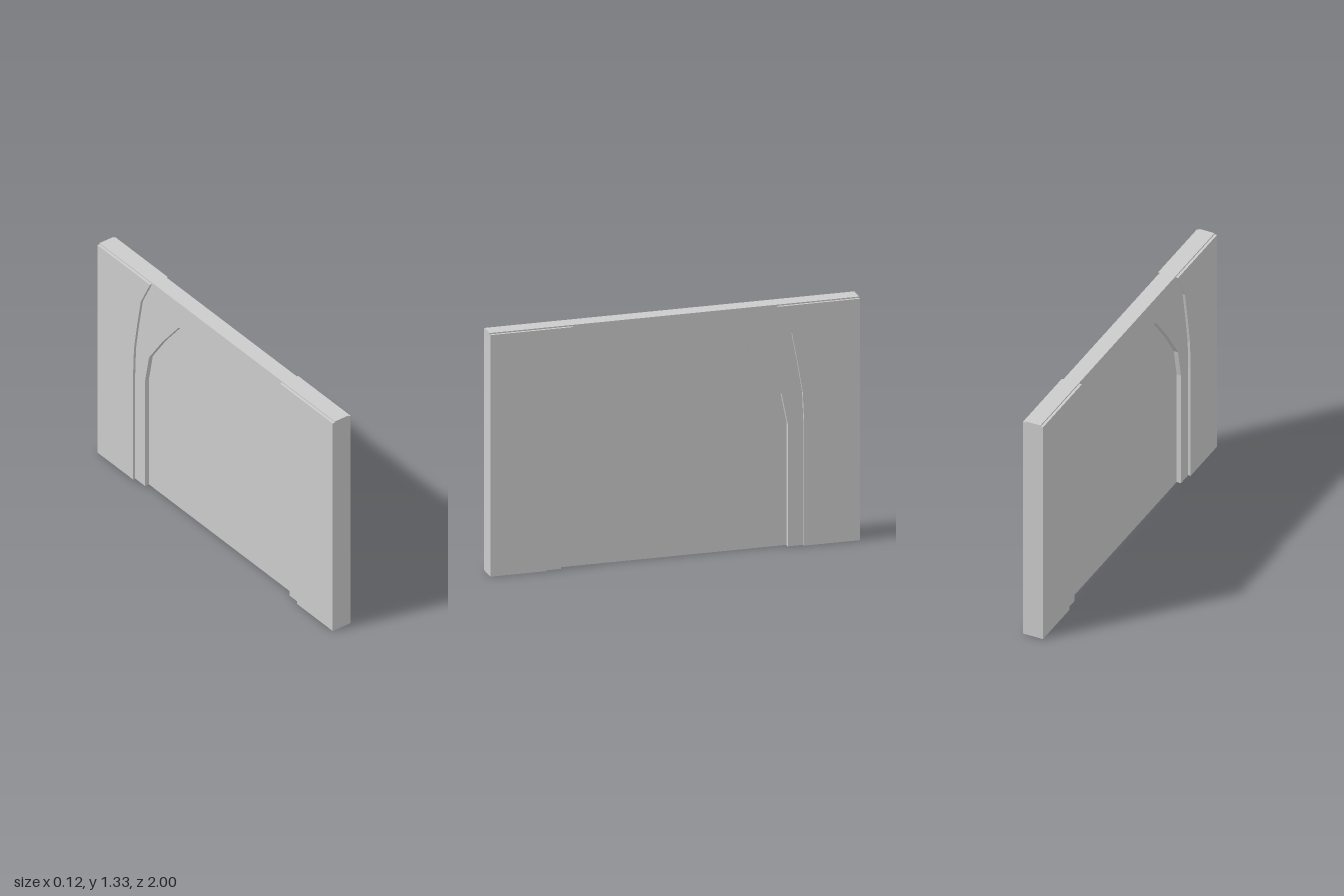
import * as THREE from 'three';

const TOP = 1.325, LEDGE = 1.318;

// Half profiles as [z, y], from the floor up
const ARCH = [[0.613, 0], [0.613, 0.67], [0.58, 0.835], [0.465, 1.0], [0.33, 1.165], [0, TOP]];
const PIER = [[0.697, 0], [0.697, 0.67], [0.69, 0.835], [0.663, 1.0], [0.632, 1.165], [0.553, LEDGE]];

export function createModel() {
  const group = new THREE.Group();
  const material = new THREE.MeshStandardMaterial({ color: 0xcccccc, flatShading: true });

  // Slab cut from a side outline, centred on x = 0
  const addSlab = (name, points, halfThickness) => {
    const shape = new THREE.Shape(points.map(([z, y]) => new THREE.Vector2(z, y)));
    const geometry = new THREE.ExtrudeGeometry(shape, { depth: 2 * halfThickness, bevelEnabled: false });
    geometry.translate(0, 0, -halfThickness).rotateY(-Math.PI / 2);
    const mesh = new THREE.Mesh(geometry, material);
    mesh.name = name;
    group.add(mesh);
  };

  const mirror = (points, s) => points.map(([z, y]) => [s * z, y]);

  // Thin panel filling the pointed arch
  addSlab('archPanel', [...ARCH, ...mirror(ARCH.slice(0, -1), -1).reverse()], 0.019);

  for (const s of [1, -1]) {
    const side = s > 0 ? 'front' : 'back';
    // Middle step between the arch opening and the pier
    addSlab(side + 'ArchBand', mirror([...ARCH, [0.553, TOP], ...[...PIER].reverse()], s), 0.044);
    // Thick outer pier
    addSlab(side + 'Pier', mirror([...PIER, [1, LEDGE], [1, 0]], s), 0.058);
    // Narrow raised strip along the top of the pier
    addSlab(side + 'TopStrip', mirror([[0.553, LEDGE], [0.553, TOP], [1, TOP], [1, LEDGE]], s), 0.044);
  }
  return group;
}
